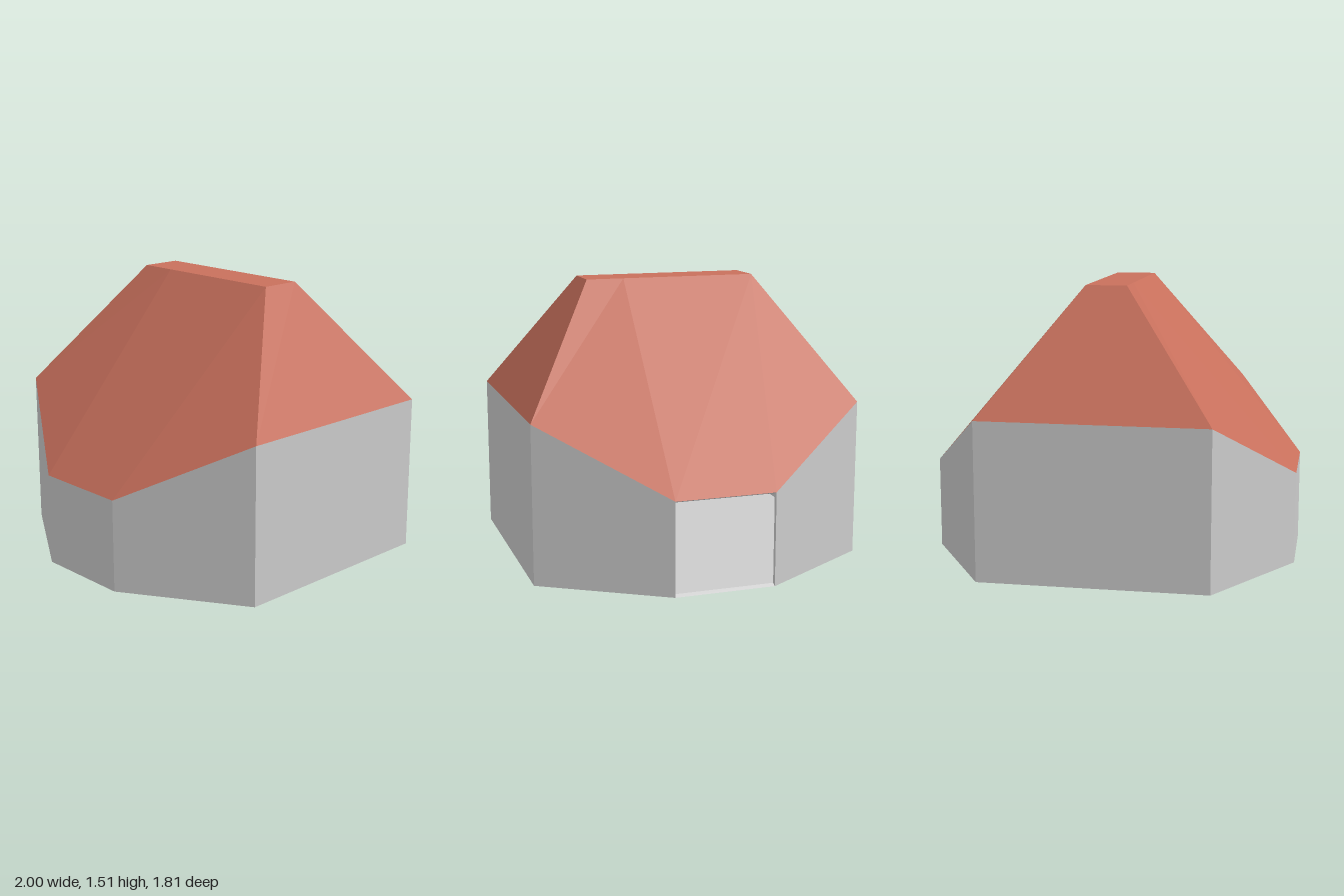
import * as THREE from 'three';

const DOOR = 1; // index of the open wall on the +x side

// Flat-shaded geometry from convex polygons, corners counter-clockwise from outside
function polygons(faces) {
  const pos = [];
  for (const f of faces)
    for (let k = 1; k < f.length - 1; k++) pos.push(...f[0], ...f[k], ...f[k + 1]);
  const g = new THREE.BufferGeometry();
  g.setAttribute('position', new THREE.Float32BufferAttribute(pos, 3));
  g.computeVertexNormals();
  return g;
}

const flip = (faces) => faces.map((f) => [...f].reverse());
const turn = ([x, y, z]) => [-x, y, -z]; // half turn about the vertical axis

// Corner rings of the octagonal plan: floor, eaves and ridge
function skin({ cx, cz, sx, sz, base, high, low, rx, rz, top }) {
  const half = (a, b) => [[cx, a, cz], [sx, b, sz], [sx, b, -sz], [cx, a, -cz]];
  const ring = (a, b) => [...half(a, b), ...half(a, b).map(turn)];
  const floor = ring(base, base), eave = ring(high, low);

  const walls = [];
  for (let i = 0; i < 8; i++) {
    const j = (i + 1) % 8;
    if (i !== DOOR) walls.push([floor[i], floor[j], eave[j], eave[i]]);
  }

  // One side of the roof plus one gable slope, repeated by a half turn
  const front = [rx, top, rz], mid = [rx, top, sz], back = [rx, top, -rz];
  const side = [
    [eave[0], mid, front],
    [eave[0], eave[1], mid],
    [eave[1], eave[2], back, mid],
    [eave[2], eave[3], back],
    [eave[7], eave[0], front, turn(back)],
  ];
  const roof = [...side, ...side.map((f) => f.map(turn)),
    [turn(back), front, back, turn(front)]];
  return { floor, eave, walls, roof };
}

export function createModel() {
  const group = new THREE.Group();
  const grey = new THREE.MeshStandardMaterial({ color: 0xcccccc, flatShading: true });
  const red = new THREE.MeshStandardMaterial({ color: 0xc8705c, flatShading: true });
  const add = (name, faces, material) => {
    const mesh = new THREE.Mesh(polygons(faces), material);
    mesh.name = name;
    group.add(mesh);
  };

  const outer = skin({ cx: 0.61, cz: 0.905, sx: 1, sz: 0.27, base: 0,
    high: 0.85, low: 0.5, rx: 0.11, rz: 0.475, top: 1.51 });
  const inner = skin({ cx: 0.602, cz: 0.893, sx: 0.988, sz: 0.265, base: 0.015,
    high: 0.842, low: 0.493, rx: 0.105, rz: 0.468, top: 1.495 });

  add('outerWalls', outer.walls, grey);
  add('innerWalls', flip(inner.walls), grey);
  add('roof', outer.roof, red);
  add('roofLining', flip(inner.roof), grey);
  add('floorUnderside', flip([outer.floor]), grey);
  add('floor', [inner.floor], grey);

  // Rim of the doorway between the outer and inner skins
  const a = outer.floor[DOOR], b = outer.floor[DOOR + 1];
  const c = outer.eave[DOOR + 1], d = outer.eave[DOOR];
  const ia = inner.floor[DOOR], ib = inner.floor[DOOR + 1];
  const ic = inner.eave[DOOR + 1], id = inner.eave[DOOR];
  add('doorFrame', [[a, b, ib, ia], [b, c, ic, ib], [c, d, id, ic], [d, a, ia, id]], grey);

  return group;
}
